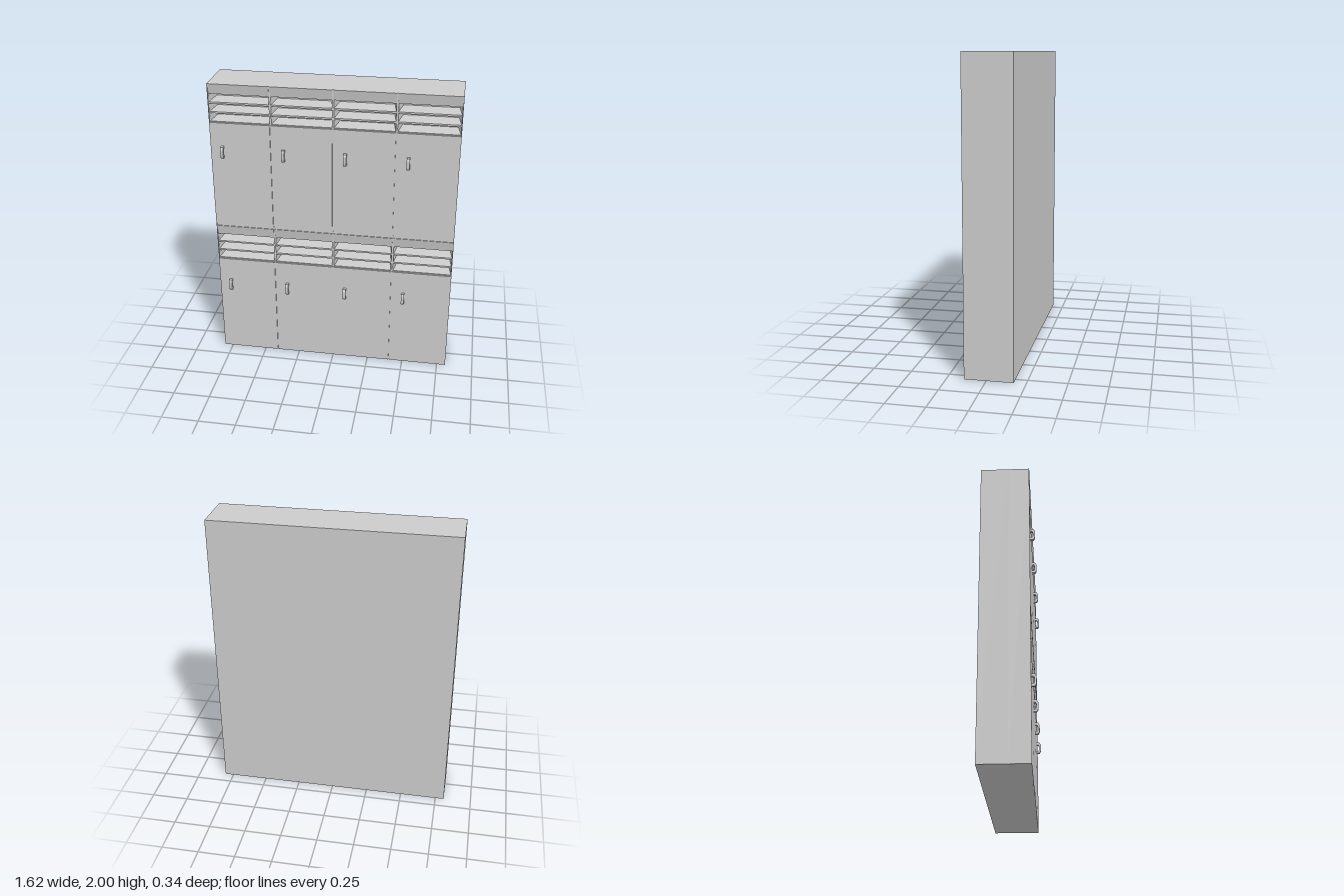
import * as THREE from 'three';

const BACK = -0.172, FRONT = 0.142, CORE = 0.01, VENT = 0.13;
const PITCH = 0.406, WIDTH = 0.398, ROW = 1.008, HEIGHT = 0.992;
const DOOR_TOP = 0.733, VENT_TOP = 0.928;

const mat = new THREE.MeshStandardMaterial({ color: 0xcccccc, flatShading: true });
const thin = new THREE.MeshStandardMaterial({ color: 0xcccccc, flatShading: true, side: THREE.DoubleSide });

function add(parent, name, geometry, material = mat) {
  const mesh = new THREE.Mesh(geometry, material);
  mesh.name = name;
  parent.add(mesh);
  return mesh;
}

// Box given by its minimum and maximum corners
function box(parent, name, x0, x1, y0, y1, z0, z1) {
  const mesh = add(parent, name, new THREE.BoxGeometry(x1 - x0, y1 - y0, z1 - z0));
  mesh.position.set((x0 + x1) / 2, (y0 + y1) / 2, (z0 + z1) / 2);
}

// Side profile of [z, y] points, extruded along x and centred
function profile(points, width, hole) {
  const shape = new THREE.Shape(points.map(([z, y]) => new THREE.Vector2(z, y)));
  if (hole) shape.holes.push(new THREE.Path(hole.map(([z, y]) => new THREE.Vector2(z, y))));
  const g = new THREE.ExtrudeGeometry(shape, { depth: width, bevelEnabled: false });
  g.translate(0, 0, -width / 2);
  g.rotateY(-Math.PI / 2);
  return g;
}

function rect(hw, y0, y1) {
  return [[-hw, y0], [hw, y0], [hw, y1], [-hw, y1]];
}

// Tapered pocket running from a front opening back to a smaller rear wall
function pocket(hw, y0, y1) {
  const front = rect(hw, y0, y1).map(([x, y]) => [x, y, VENT]);
  const rear = rect(hw - 0.02, y0 + 0.007, y1 - 0.04).map(([x, y]) => [x, y, CORE + 0.002]);
  const index = [4, 5, 6, 4, 6, 7];
  for (let i = 0; i < 4; i++) {
    const j = (i + 1) % 4;
    index.push(i, j, j + 4, i, j + 4, i + 4);
  }
  const g = new THREE.BufferGeometry();
  g.setAttribute('position', new THREE.Float32BufferAttribute([...front, ...rear].flat(), 3));
  g.setIndex(index);
  const flat = g.toNonIndexed();
  flat.computeVertexNormals();
  return flat;
}

function createLocker() {
  const locker = new THREE.Group();
  const hw = WIDTH / 2;
  box(locker, 'door', -hw, hw, 0, DOOR_TOP, CORE, FRONT);

  // Header leaning back towards the vents
  add(locker, 'header', profile([[CORE, VENT_TOP], [VENT, VENT_TOP], [FRONT, HEIGHT], [CORE, HEIGHT]], WIDTH));

  // Vent panel with three slots
  const panel = new THREE.Shape(rect(hw, DOOR_TOP, VENT_TOP).map(p => new THREE.Vector2(...p)));
  const step = (VENT_TOP - DOOR_TOP) / 3;
  for (let i = 0; i < 3; i++) {
    const y0 = DOOR_TOP + 0.006 + i * step, y1 = y0 + step - 0.011;
    panel.holes.push(new THREE.Path(rect(hw - 0.003, y0, y1).reverse().map(p => new THREE.Vector2(...p))));
    add(locker, 'ventSlot', pocket(hw - 0.003, y0, y1), thin);
  }
  add(locker, 'ventPanel', new THREE.ShapeGeometry(panel), thin).position.z = VENT;

  // Faceted loop handle
  const loop = (r, h, c) => [[-0.004, -h], [r - c, -h], [r, -h + 2 * c], [r, h - 2 * c], [r - c, h], [-0.004, h]];
  const handle = add(locker, 'handle', profile(loop(0.03, 0.04, 0.009), 0.02, loop(0.018, 0.023, 0.006).reverse()));
  handle.position.set(-0.121, 0.533, FRONT);
  return locker;
}

export function createModel() {
  const model = new THREE.Group();
  model.name = 'lockerBank';
  box(model, 'carcass', -0.81, 0.81, 0, 2, BACK, CORE);
  for (const s of [-1, 1]) {
    box(model, 'sidePanel', s * 0.808 - 0.002, s * 0.808 + 0.002, 0, 2, CORE, FRONT - 0.0005);
  }

  // Recessed strips closing the seams between lockers
  for (const x of [-PITCH, 0, PITCH]) box(model, 'divider', x - 0.005, x + 0.005, 0, 2, CORE, 0.134);
  box(model, 'rowSeam', -0.808, 0.808, HEIGHT - 0.002, ROW + 0.002, CORE, 0.137);

  // Two rows of four lockers
  for (let row = 0; row < 2; row++) {
    for (let col = 0; col < 4; col++) {
      const locker = createLocker();
      locker.name = 'locker';
      locker.position.set((col - 1.5) * PITCH, row * ROW, 0);
      model.add(locker);
    }
  }
  return model;
}
